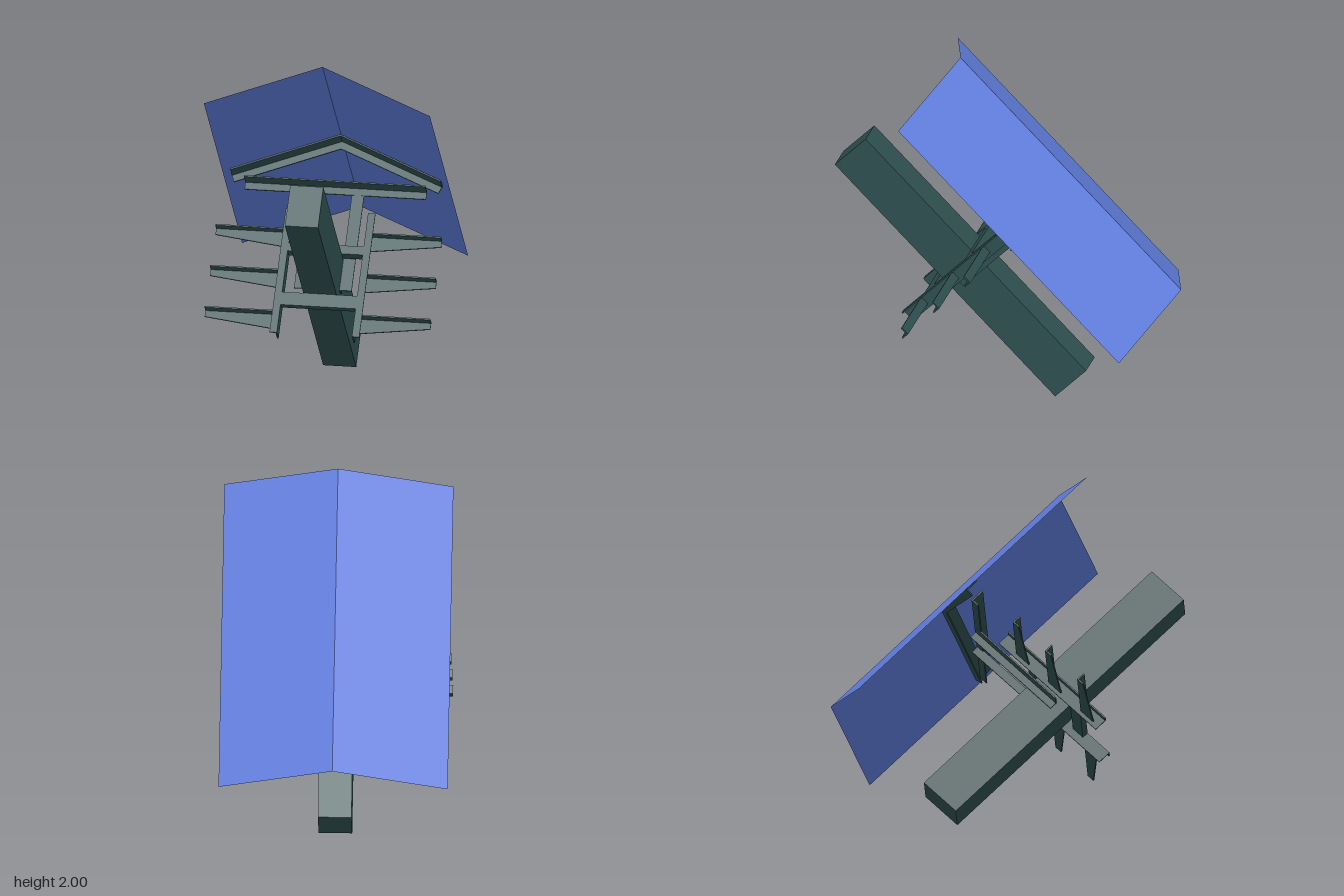
import * as THREE from 'three';

const steel = new THREE.MeshStandardMaterial({ color: 0x2f4f4f, flatShading: true });
const sheet = new THREE.MeshStandardMaterial({ color: 0x5f7cdc, flatShading: true, side: THREE.DoubleSide });
const T = 0.008; // thickness of the angle steel

// Box given by its limits on each axis
function box(name, x0, x1, y0, y1, z0, z1) {
  const geo = new THREE.BoxGeometry(Math.abs(x1 - x0), y1 - y0, z1 - z0);
  geo.translate((x0 + x1) / 2, (y0 + y1) / 2, (z0 + z1) / 2);
  const mesh = new THREE.Mesh(geo, steel);
  mesh.name = name;
  return mesh;
}

function group(name, ...parts) {
  const g = new THREE.Group();
  g.name = name;
  g.add(...parts);
  return g;
}

// Angle bar along x: flat flange on top, web hanging from its rear edge
function angleBar(name, x0, x1, top, z0, z1, drop) {
  return group(name,
    box('flange', x0, x1, top - T, top, z0, z1),
    box('web', x0, x1, top - drop, top - T, z0, z0 + T));
}

// Upright angle: web on the inner side, flange on the front
function angleUpright(name, s, xIn, xOut, y0, y1, z0, z1) {
  return group(name,
    box('web', s * xIn, s * (xIn + T), y0, y1, z0, z1),
    box('flange', s * (xIn + T), s * xOut, y0, y1, z1 - T, z1));
}

// Bracket arm: flat flange with a web that tapers to the tip
function bracketArm(s, top) {
  const x0 = 0.223, x1 = 0.647, z0 = 0.69;
  const shape = new THREE.Shape([
    [x0, top - T], [x1, top - T], [x1, top - 0.045], [x0, top - 0.1],
  ].map(([x, y]) => new THREE.Vector2(s * x, y)));
  const geo = new THREE.ExtrudeGeometry(shape, { depth: T, bevelEnabled: false });
  geo.translate(0, 0, z0);
  const web = new THREE.Mesh(geo, steel);
  web.name = 'taperedWeb';
  return group('bracketArm', box('flange', s * x0, s * x1, top - T, top, z0, 0.742), web);
}

export function createModel() {
  // Everything is laid out square, then the whole assembly is tipped back
  const frame = new THREE.Group();
  frame.name = 'tiltedAssembly';
  frame.rotation.x = -Math.PI / 4;

  // Main beam and the two bars that clamp it
  frame.add(box('mainBeam', -0.095, 0.095, 0.203, 0.458, -0.202, 1.622));
  frame.add(box('lowerClampBar', -0.215, 0.215, 0.12, 0.2, 0.712, 0.75));
  frame.add(box('upperClampBar', -0.215, 0.215, 0.458, 0.51, 0.69, 0.75));

  // Horizontal tie under the roof
  frame.add(angleBar('roofTie', -0.52, 0.52, 0.914, 0.663, 0.747, 0.05));

  const rise = 0.269, half = 0.648, ridge = 1.207;
  const pitch = Math.atan2(rise, half);
  const z0 = -0.205, z1 = 1.622;

  for (const s of [1, -1]) {
    frame.add(angleUpright('sideRail', s, 0.215, 0.257, -0.055, 0.72, 0.668, 0.75));
    frame.add(angleUpright('roofPost', s, 0.095, 0.165, 0.267, 0.907, 0.62, 0.67));
    for (let i = 0; i < 3; i++) frame.add(bracketArm(s, 0.088 + i * 0.2575));

    // Sloping rafter
    const rafter = angleBar('rafter', 0, s * 0.655, 0, 0.663, 0.747, 0.05);
    rafter.position.y = ridge - 0.004;
    rafter.rotation.z = -s * pitch;
    frame.add(rafter);

    // Thin roof sheet
    const geo = new THREE.PlaneGeometry(Math.hypot(half, rise), z1 - z0);
    geo.rotateX(-Math.PI / 2);
    geo.rotateZ(-s * pitch);
    geo.translate(s * half / 2, ridge - rise / 2, (z0 + z1) / 2);
    const roof = new THREE.Mesh(geo, sheet);
    roof.name = 'roofSheet';
    frame.add(roof);
  }

  return group('model', frame);
}
